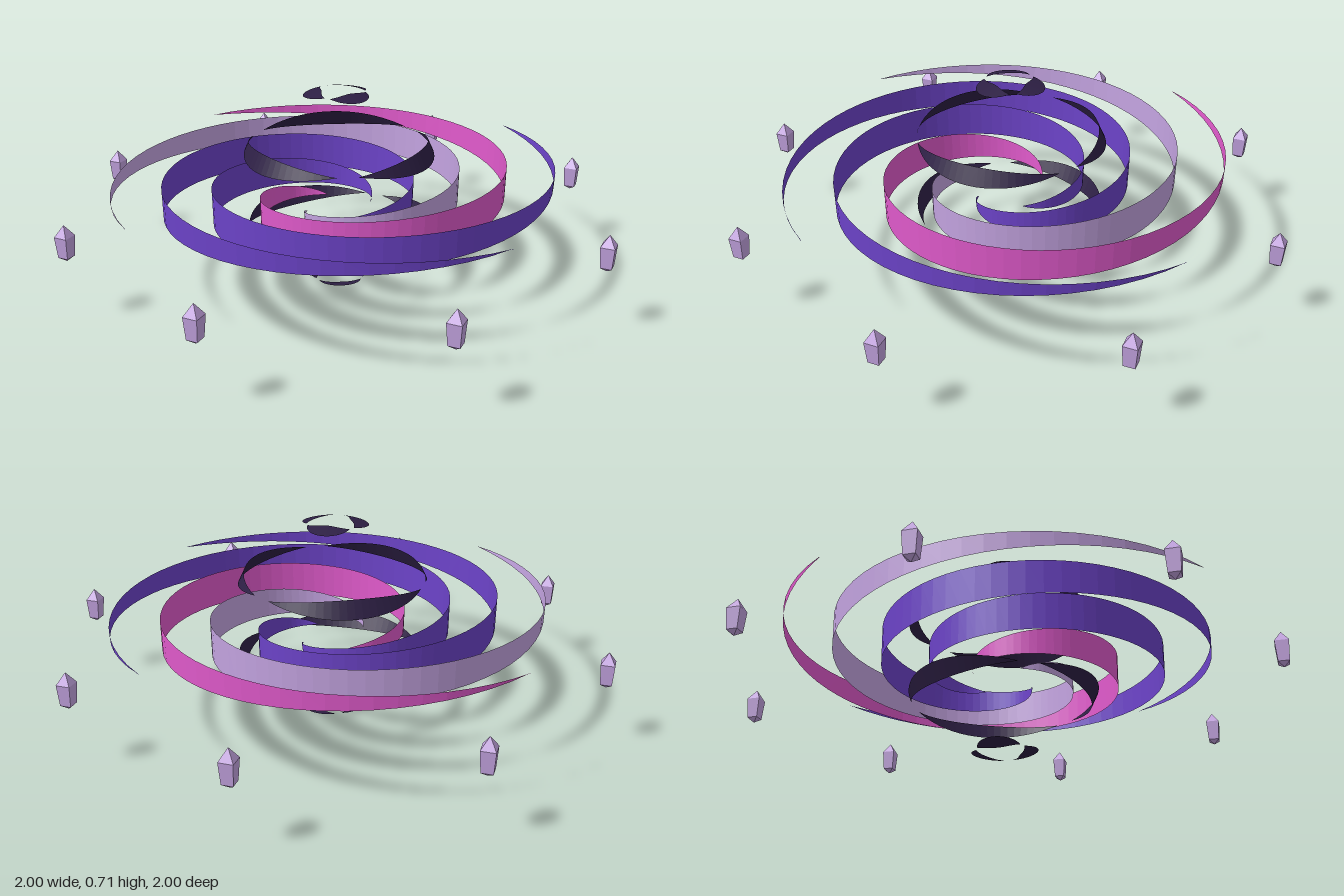
import * as THREE from 'three';

const mat = (name, color, side) => {
  const m = new THREE.MeshStandardMaterial({ color, side, flatShading: true });
  m.name = name;
  return m;
};
const rad = THREE.MathUtils.degToRad;

// Ribbon strip: edges(t) returns the lower and upper point for t in 0..1
function ribbon(name, edges, segments, material) {
  const pos = [], index = [];
  for (let i = 0; i <= segments; i++) {
    const [low, high] = edges(i / segments);
    pos.push(...low, ...high);
    if (i < segments) {
      const a = i * 2;
      index.push(a, a + 1, a + 2, a + 1, a + 3, a + 2);
    }
  }
  const geo = new THREE.BufferGeometry();
  geo.setAttribute('position', new THREE.Float32BufferAttribute(pos, 3));
  geo.setIndex(index);
  geo.computeVertexNormals();
  const mesh = new THREE.Mesh(geo, material);
  mesh.name = name;
  return mesh;
}

export function createModel() {
  const model = new THREE.Group();
  model.name = 'spiralVortex';
  const violet = mat('violet', 0x6c43c8, THREE.DoubleSide);
  const pink = mat('pink', 0xe05acb, THREE.DoubleSide);
  const lavender = mat('lavender', 0xc3a3e0, THREE.DoubleSide);
  const dark = mat('dark purple', 0x2d1f44, THREE.DoubleSide);

  // Four upright spiral arms, rising outward and tapering at both ends;
  // the top edge leans out a hair
  const arms = new THREE.Group();
  arms.name = 'spiralArms';
  [violet, violet, lavender, pink].forEach((m, i) => {
    arms.add(ribbon('spiralArm', (t) => {
      const a = rad(90 * i - 378 * t);
      const y = 0.275 + 0.136 * t;
      const h = 0.065 * Math.pow(Math.max(0, Math.sin(Math.PI * t)), 0.85);
      return [-1, 1].map((s) => {
        const r = 0.12 + 0.722 * t + 0.001 * s;
        return [r * Math.cos(a), y + s * h, r * Math.sin(a)];
      });
    }, 72, m));
  });
  model.add(arms);

  // Dark crescents lying on a sphere: four latitudes, three on each
  const R = 0.36, centerY = 0.355, span = 108;
  const shell = new THREE.Group();
  shell.name = 'coreShell';
  [75, 25, -25, -75].forEach((lat, j) => {
    for (let k = 0; k < 3; k++) {
      const middle = 75 + 90 * j + 120 * k;
      shell.add(ribbon('coreCrescent', (t) => {
        const a = rad(middle + span * (t - 0.5));
        const w = 5.3 * Math.max(0, Math.sin(Math.PI * t));
        return [lat - w, lat + w].map((d) => {
          const c = R * Math.cos(rad(d));
          return [c * Math.cos(a), centerY + R * Math.sin(rad(d)), c * Math.sin(a)];
        });
      }, 24, dark));
    }
  });
  model.add(shell);

  // Ring of eight four-sided crystals
  const profile = [[0, 0.213], [0.027, 0.229], [0.034, 0.303], [0, 0.343]]
    .map(([x, y]) => new THREE.Vector2(x, y));
  const crystalGeo = new THREE.LatheGeometry(profile, 4);
  const crystals = new THREE.Group();
  crystals.name = 'crystalRing';
  for (let i = 0; i < 8; i++) {
    const crystal = new THREE.Mesh(crystalGeo, lavender);
    crystal.name = 'crystal';
    const a = (i * Math.PI) / 4;
    crystal.position.set(0.966 * Math.cos(a), 0, 0.966 * Math.sin(a));
    crystals.add(crystal);
  }
  model.add(crystals);

  return model;
}
